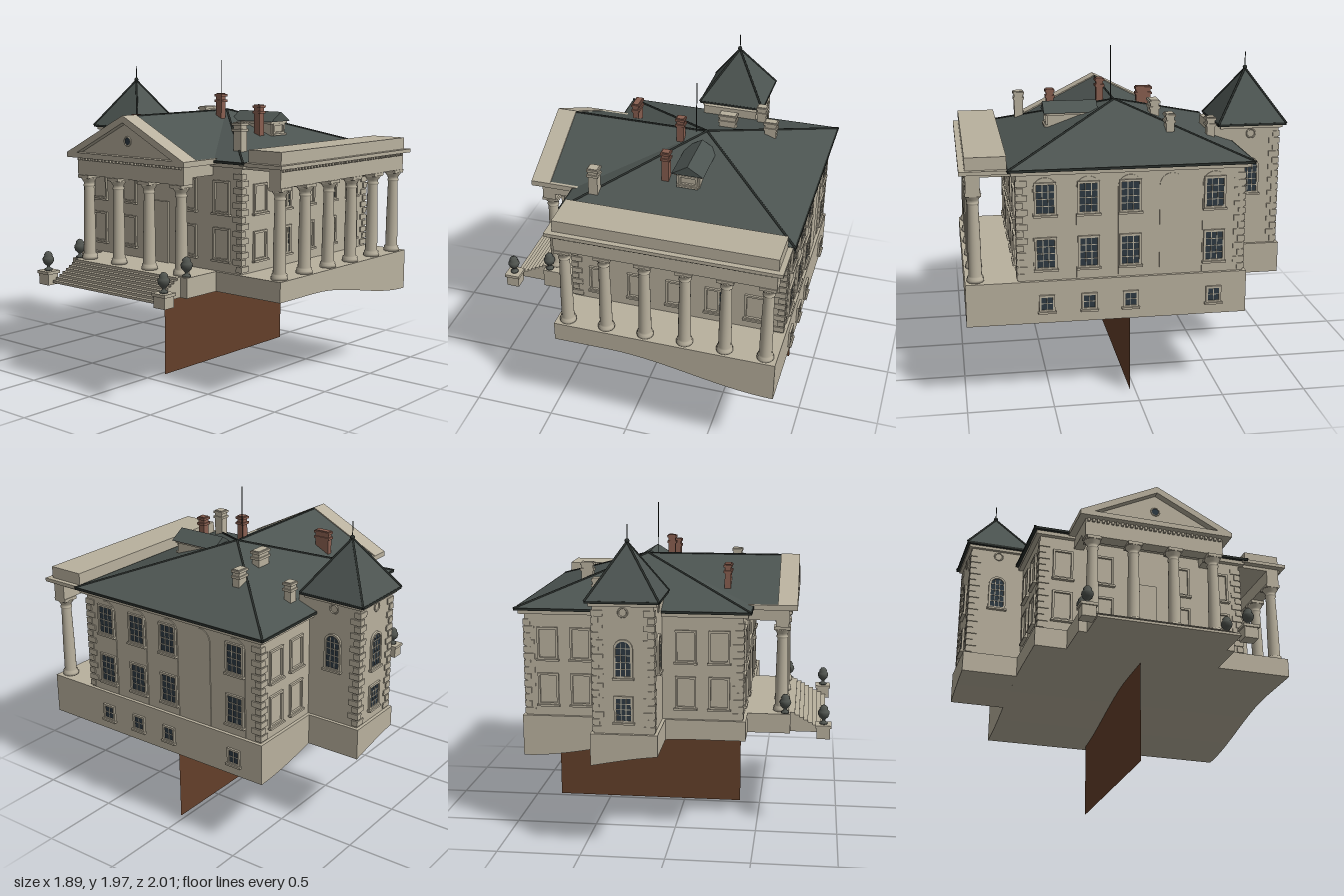
import * as THREE from 'three';

const mat = (name, color, side = THREE.FrontSide) => {
  const m = new THREE.MeshStandardMaterial({ color, side });
  m.name = name;
  return m;
};

export function createModel() {
  const root = new THREE.Group();
  root.name = 'villa';
  const stone = mat('stone', 0xb9b19e);
  const slate = mat('slate', 0x4c5451);
  const dark = mat('darkMetal', 0x2a2f2c);
  const brick = mat('brick', 0x895f50);
  const glass = mat('glass', 0x2d3942);
  const urnMat = mat('urnMetal', 0x50544f);
  const earth = mat('earth', 0x633f29, THREE.DoubleSide);
  const CX = 0.235, CZ = 0.03, HALF = 0.655, TZ = -0.79;

  const add = (name, geo, m, parent = root) => {
    const mesh = new THREE.Mesh(geo, m);
    mesh.name = name;
    parent.add(mesh);
    return mesh;
  };
  const box = (name, m, x0, x1, y0, y1, z0, z1, parent = root) => {
    const b = add(name, new THREE.BoxGeometry(x1 - x0, y1 - y0, z1 - z0), m, parent);
    b.position.set((x0 + x1) / 2, (y0 + y1) / 2, (z0 + z1) / 2);
    return b;
  };
  const bar = (name, a, b, r, m = dark) => {
    const p = new THREE.Vector3(...a), q = new THREE.Vector3(...b);
    const c = add(name, new THREE.CylinderGeometry(r, r, p.distanceTo(q), 6), m);
    c.position.copy(p).add(q).multiplyScalar(0.5);
    c.quaternion.setFromUnitVectors(new THREE.Vector3(0, 1, 0), q.sub(p).normalize());
  };
  const polygon = pts => new THREE.Shape(pts.map(p => new THREE.Vector2(...p)));
  const extrude = (shape, depth, extra = {}) =>
    new THREE.ExtrudeGeometry(shape, { depth, bevelEnabled: false, ...extra });
  // Outline drawn in (z, y) and extruded along x
  const alongX = (name, m, shape, x0, x1) => {
    const mesh = add(name, extrude(shape, x1 - x0).rotateY(-Math.PI / 2), m);
    mesh.position.x = x1;
  };

  // Plinth following the sloping ground
  const ground = x => 0.62 - 0.133 * THREE.MathUtils.smoothstep(x, -0.1, 0.91);
  const groundLine = (x0, x1) => Array.from({ length: 21 }, (_, i) => {
    const x = x0 + (x1 - x0) * i / 20;
    return [x, ground(x)];
  });
  const plinth = (name, x0, x1, z0, z1) => {
    const s = polygon([...groundLine(x0, x1), [x1, 0.74], [x0, 0.74]]);
    add(name, extrude(s, z1 - z0), stone).position.z = z0;
  };
  plinth('mainPlinth', -0.44, 0.91, -0.645, 0.985);
  plinth('towerPlinth', 0.04, 0.43, -0.985, -0.6);
  plinth('sidePorchPlinth', -0.7, -0.43, -0.45, 0.51);
  add('groundSection', new THREE.ShapeGeometry(
    polygon([[-0.37, 0], [0.84, 0], ...groundLine(-0.37, 0.84).reverse()])), earth).position.z = CZ;

  // Walls and corner stones
  box('mainWalls', stone, CX - HALF, CX + HALF, 0.74, 1.38, CZ - HALF, CZ + HALF);
  box('towerWalls', stone, 0.06, 0.41, 0.74, 1.5, -0.965, -0.55);
  const quoins = (x, z, sx, sz, top) => {
    for (let i = 0, y = 0.75; y + 0.035 < top; y += 0.042, i++) {
      const w = i % 2 ? 0.035 : 0.06, v = i % 2 ? 0.06 : 0.035;
      const b = box('quoin', stone, 0, w + 0.007, y, y + 0.034, 0, v + 0.007);
      b.position.x = x + sx * (0.007 - (w + 0.007) / 2);
      b.position.z = z + sz * (0.007 - (v + 0.007) / 2);
    }
  };
  for (const s of [-1, 1]) {
    for (const t of [-1, 1]) quoins(CX + s * HALF, CZ + t * HALF, s, t, 1.37);
    quoins(CX + s * 0.175, -0.965, s, -1, 1.49);
  }

  // Main roof, tower roof and their ridges
  const pyramid = (name, x, z, half, y0, y1) => {
    const g = new THREE.ConeGeometry(half * Math.SQRT2, y1 - y0, 4, 1).rotateY(Math.PI / 4).toNonIndexed();
    g.computeVertexNormals();
    add(name, g, slate).position.set(x, (y0 + y1) / 2, z);
    for (const s of [-1, 1]) for (const t of [-1, 1])
      bar('hipRidge', [x + s * half, y0, z + t * half], [x, y1, z], 0.007);
    box('eaves', dark, x - half, x + half, y0 - 0.012, y0 + 0.003, z - half, z + half);
  };
  pyramid('mainRoof', CX, CZ, 0.705, 1.4, 1.65);
  pyramid('towerRoof', CX, TZ, 0.212, 1.51, 1.82);
  box('mainCornice', stone, CX - 0.685, CX + 0.685, 1.365, 1.388, CZ - 0.685, CZ + 0.685);
  box('towerCornice', stone, CX - 0.195, CX + 0.195, 1.48, 1.498, TZ - 0.195, TZ + 0.195);
  bar('towerFinial', [CX, 1.8, TZ], [CX, 1.92, TZ], 0.003);
  add('finialBall', new THREE.SphereGeometry(0.014, 12, 8), dark).position.set(CX, 1.825, TZ);
  bar('flagpole', [0.17, 1.6, 0.04], [0.17, 1.97, 0.04], 0.003);

  // Columns
  const colGeo = new THREE.LatheGeometry([[0, 0], [0.05, 0], [0.05, 0.016], [0.045, 0.018], [0.046, 0.03],
    [0.038, 0.036], [0.037, 0.2], [0.031, 0.455], [0.036, 0.46], [0.036, 0.468], [0.032, 0.472],
    [0.034, 0.485], [0.048, 0.505], [0.05, 0.515], [0, 0.515]].map(p => new THREE.Vector2(...p)), 20);
  const column = (x, z) => {
    add('column', colGeo, stone).position.set(x, 0.74, z);
    box('capitalSlab', stone, x - 0.05, x + 0.05, 1.25, 1.27, z - 0.045, z + 0.045);
  };
  for (let i = 0; i < 6; i++) column(-0.37 + i * 0.242, 0.925);
  for (let i = 0; i < 4; i++) column(-0.64, CZ - 0.385 + i * 0.2567);

  // Front portico
  box('frontBeam', stone, -0.42, 0.89, 1.27, 1.38, 0.885, 0.965);
  box('porticoCeiling', stone, -0.42, 0.89, 1.36, 1.39, 0.68, 0.89);
  box('frontCornice', stone, -0.46, 0.925, 1.38, 1.402, 0.7, 1.0);
  box('parapet', stone, -0.42, 0.895, 1.4, 1.475, 0.735, 0.967);
  for (let x = -0.41; x < 0.88; x += 0.03) box('dentil', stone, x, x + 0.015, 1.362, 1.38, 0.96, 0.98);

  // Side porch with gable
  box('sideBeam', stone, -0.68, -0.6, 1.27, 1.38, -0.41, 0.47);
  for (const z of [-0.41, 0.41]) box('returnBeam', stone, -0.61, -0.41, 1.31, 1.38, z, z + 0.06);
  box('sidePorchCeiling', stone, -0.68, -0.41, 1.365, 1.385, -0.41, 0.47);
  box('sideCornice', stone, -0.73, -0.42, 1.38, 1.412, CZ - 0.485, CZ + 0.485);
  const gable = (w, y0, y1) => polygon([[CZ - w, y0], [CZ + w, y0], [CZ, y1]]);
  alongX('sideRoof', slate, gable(0.468, 1.41, 1.648), -0.615, CX);
  alongX('gableWall', stone, gable(0.45, 1.41, 1.635), -0.685, -0.6);
  const rake = polygon([[CZ - 0.485, 1.41], [CZ - 0.4, 1.41], [CZ, 1.612], [CZ + 0.4, 1.41],
    [CZ + 0.485, 1.41], [CZ, 1.655]]);
  alongX('gableCornice', stone, rake, -0.73, -0.612);
  bar('sideRidge', [-0.61, 1.648, CZ], [CX, 1.648, CZ], 0.006);
  for (let z = -0.4; z < 0.46; z += 0.03) box('dentil', stone, -0.695, -0.675, 1.362, 1.38, z, z + 0.015);

  // Steps, pedestals and urns
  for (let i = 0; i < 8; i++)
    box('step', stone, -0.915 + i * 0.027, -0.69, i ? 0.61 + i * 0.015 : 0.62, 0.635 + i * 0.015, -0.4, 0.46);
  const urnGeo = new THREE.LatheGeometry([[0, 0], [0.024, 0], [0.024, 0.01], [0.01, 0.018], [0.01, 0.028],
    [0.028, 0.045], [0.036, 0.066], [0.033, 0.08], [0.024, 0.09], [0.026, 0.1], [0.014, 0.115],
    [0, 0.12]].map(p => new THREE.Vector2(...p)), 16);
  for (const s of [-1, 1]) {
    const z = CZ + s * 0.485;
    box('pedestal', stone, -0.94, -0.86, 0.605, 0.675, z - 0.042, z + 0.042);
    box('pedestalCap', stone, -0.948, -0.852, 0.672, 0.69, z - 0.05, z + 0.05);
    add('lowerUrn', urnGeo, urnMat).position.set(-0.9, 0.69, z);
    add('upperUrn', urnGeo, urnMat).position.set(-0.667, 0.74, CZ + s * 0.45);
  }

  // Wall details, built facing +z and turned to each wall
  const opening = (w, h, arched) => {
    const s = new THREE.Shape(), r = w / 2, top = arched ? h - r : h;
    s.moveTo(-r, 0).lineTo(r, 0).lineTo(r, top);
    if (arched) s.absarc(0, top, r, 0, Math.PI, false);
    else s.lineTo(-r, top);
    return s.lineTo(-r, 0);
  };
  const site = (name, x, y, z, turn) => {
    const g = new THREE.Group();
    g.name = name;
    g.position.set(x, y, z);
    g.rotation.y = turn;
    root.add(g);
    return g;
  };
  const windowAt = (x, y, z, turn, w, h, { arched = false, pane = true, rows = 4, cols = 3 } = {}) => {
    const g = site('window', x, y, z, turn);
    if (pane) {
      add('glass', extrude(opening(w, h, arched), 0.006), glass, g);
      for (let i = 1; i < cols; i++) {
        const bx = -w / 2 + w * i / cols;
        box('glazingBar', stone, bx - 0.002, bx + 0.002, 0, h - (arched ? 0.01 : 0), 0.004, 0.009, g);
      }
      for (let i = 1; i < rows; i++)
        box('glazingBar', stone, -w / 2, w / 2, h * i / rows - 0.002, h * i / rows + 0.002, 0.004, 0.009, g);
    }
    const frame = opening(w + 0.026, h + 0.026, arched);
    frame.holes.push(new THREE.Path(opening(w, h, arched).getPoints(12).map(p => p.setY(p.y + 0.013))));
    add('frame', extrude(frame, 0.013), stone, g).position.y = -0.013;
    box('sill', stone, -w / 2 - 0.02, w / 2 + 0.02, -0.022, -0.01, 0, 0.022, g);
  };
  const E = Math.PI / 2, RX = CX + HALF;
  [0.525, 0.28, 0.04, -0.2, -0.45].forEach((z, i) => {
    add('archedPanel', extrude(opening(0.14, 0.6, true), 0.005), stone, site('archBay', RX, 0.745, z, E));
    if (i === 3) return;
    windowAt(RX + 0.004, 0.82, z, E, 0.1, 0.165);
    windowAt(RX + 0.004, 1.14, z, E, 0.1, 0.165);
    windowAt(0.91, 0.57, z, E, 0.065, 0.075, { rows: 2, cols: 2 });
  });
  // Blind windows on the front, back and porch walls
  const blind = { pane: false };
  for (const y of [0.82, 1.1]) {
    for (let i = 0; i < 5; i++) windowAt(-0.25 + i * 0.242, y, CZ + HALF, 0, 0.1, 0.15, blind);
    for (const x of [0.027, 0.515]) windowAt(x, y, CZ + HALF, 0, 0.022, 0.15, { cols: 2 });
    for (const x of [-0.28, -0.08, 0.55, 0.75]) windowAt(x, y, CZ - HALF, Math.PI, 0.1, 0.17, blind);
    for (const z of [-0.48, -0.22, 0.28, 0.54]) windowAt(CX - HALF, y, z, -E, 0.1, 0.17, blind);
  }
  box('doorFrame', stone, CX - HALF - 0.015, CX - HALF, 0.74, 1.12, -0.06, 0.12);
  // Tower windows and round openings
  const ringAt = (x, y, z, turn) => {
    const ring = add('oculus', new THREE.TorusGeometry(0.026, 0.005, 6, 20), stone, site('roundWindow', x, y, z, turn));
    ring.position.z = 0.002;
  };
  for (const [x, z, turn] of [[0.41, TZ, E], [0.06, TZ, -E], [CX, -0.965, Math.PI]]) {
    windowAt(x, 1.08, z, turn, 0.085, 0.2, { arched: true, rows: 5 });
    ringAt(x, 1.445, z, turn);
  }
  windowAt(CX, 0.82, -0.965, Math.PI, 0.085, 0.13);
  ringAt(-0.685, 1.5, CZ, -E);
  const eye = add('gableGlass', new THREE.CircleGeometry(0.024, 20), glass, site('gableWindow', -0.687, 1.5, CZ, -E));
  eye.position.z = 0.001;

  // Chimneys: x, z, width, depth, bottom, top
  const chimney = (m, x, z, w, d, y0, y1) => {
    const slab = (n, g, a, b) => box(n, m, x - w / 2 - g, x + w / 2 + g, a, b, z - d / 2 - g, z + d / 2 + g);
    slab('chimney', -0.004, y0, y1);
    slab('chimneyBand', 0.003, y1 - 0.055, y1 - 0.04);
    slab('chimneyCap', 0.003, y1 - 0.02, y1 - 0.006);
  };
  chimney(brick, -0.3, -0.25, 0.045, 0.105, 1.45, 1.63);
  chimney(brick, 0.09, 0.1, 0.052, 0.052, 1.5, 1.76);
  chimney(brick, 0.09, 0.41, 0.052, 0.052, 1.48, 1.7);
  chimney(stone, 0.31, -0.2, 0.11, 0.06, 1.5, 1.66);
  chimney(stone, 0.575, -0.245, 0.08, 0.055, 1.45, 1.625);
  chimney(stone, 0.46, -0.52, 0.065, 0.055, 1.4, 1.57);
  chimney(stone, -0.3, 0.575, 0.065, 0.065, 1.4, 1.62);

  // Dormer
  box('dormerWalls', stone, 0.165, 0.305, 1.46, 1.59, 0.2, 0.445);
  box('dormerLintel', stone, 0.152, 0.318, 1.575, 1.592, 0.2, 0.455);
  const dormerRoof = polygon([[0.138, 1.59], [0.332, 1.59], [CX, 1.65]]);
  add('dormerRoof', extrude(dormerRoof, 0.33), slate).position.z = 0.14;
  windowAt(CX, 1.525, 0.445, 0, 0.09, 0.04, blind);
  return root;
}
